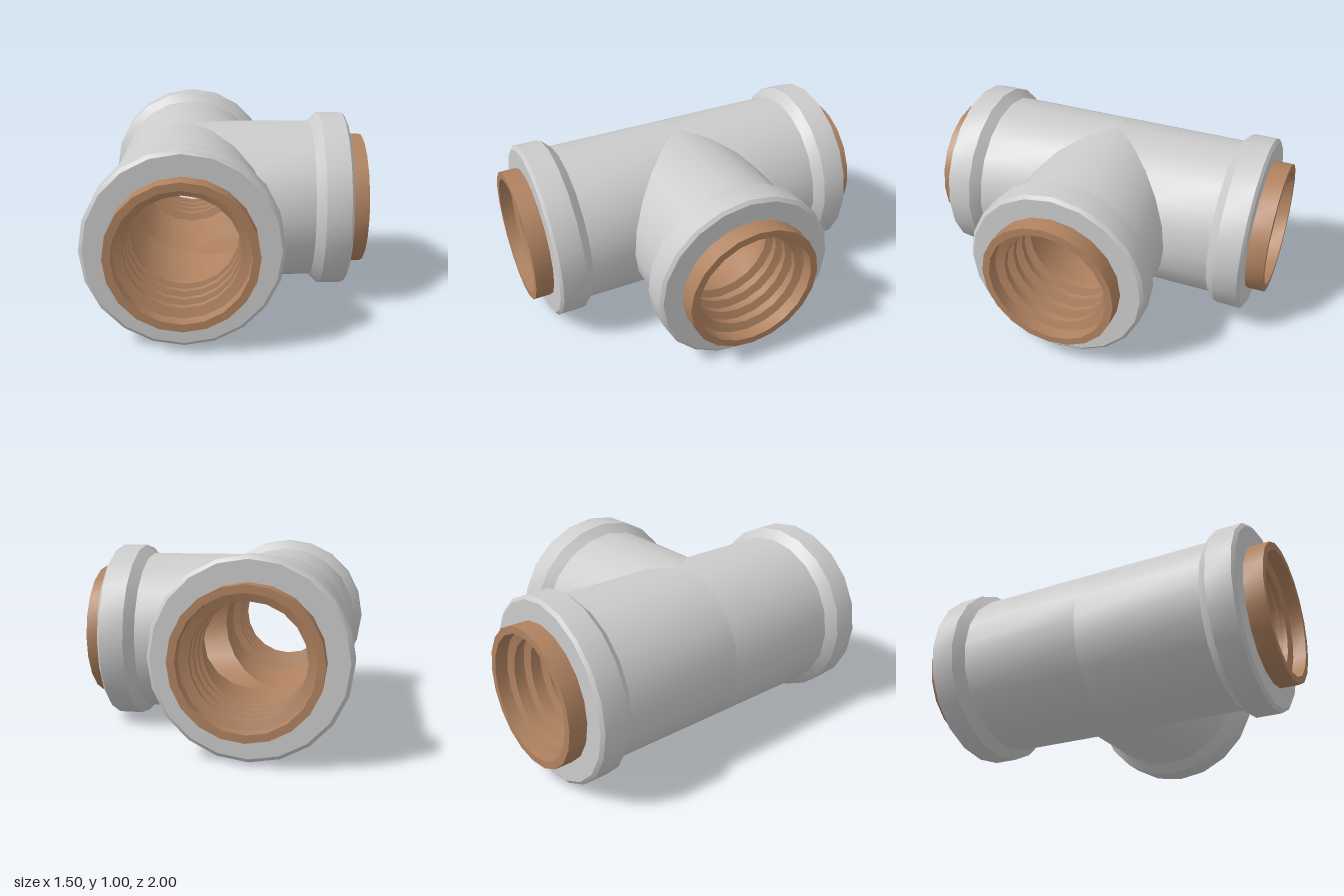
import * as THREE from 'three';
import { toCreasedNormals } from 'three/addons/utils/BufferGeometryUtils.js';

const SIDES = 20;
const CENTRE = [-0.25, 0.502, 0]; // where the three pipe axes meet

// Revolve a profile of [radius, distance] about +y, then mitre its base ring
// (distance 0) with a rule so that the legs meet cleanly at the junction.
function leg(profile, mitre) {
  const geo = new THREE.LatheGeometry(profile.map(([r, d]) => new THREE.Vector2(r, d)), SIDES);
  const pos = geo.attributes.position;
  for (let i = 0; i < pos.count; i++) {
    if (pos.getY(i) < 1e-6) pos.setY(i, mitre(pos.getX(i), pos.getZ(i)));
  }
  return toCreasedNormals(geo, 0.6);
}

// Outer pipe, flared collar and collar face
const casing = [
  [0.453, 0], [0.453, 0.7], [0.502, 0.75], [0.502, 0.885], [0.483, 0.9], [0.37, 0.9],
];

// Liner lip, threaded socket and smooth inner bore
const liner = [[0.375, 0.89], [0.375, 1], [0.335, 1]];
for (let i = 0; i < 4; i++) {
  const d = 0.93 - i * 0.1;
  liner.push([0.335, d], [0.287, d - 0.015], [0.287, d - 0.045], [0.335, d - 0.06]);
}
liner.push([0.335, 0]);

export function createModel() {
  const grey = new THREE.MeshStandardMaterial({ color: 0xcccccc });
  const brown = new THREE.MeshStandardMaterial({ color: 0xb08260 });
  const model = new THREE.Group();
  model.name = 'pipeTee';

  const runMitre = (x) => Math.max(0, x);
  const branchMitre = (x, z) => Math.abs(z);
  const legs = [
    ['frontLeg', runMitre, [Math.PI / 2, 0, 0]],
    ['backLeg', runMitre, [-Math.PI / 2, 0, 0]],
    ['branchLeg', branchMitre, [0, 0, -Math.PI / 2]],
  ];

  for (const [name, mitre, rotation] of legs) {
    const group = new THREE.Group();
    group.name = name;
    for (const [part, profile, material] of [['Casing', casing, grey], ['ThreadedLiner', liner, brown]]) {
      const mesh = new THREE.Mesh(leg(profile, mitre), material);
      mesh.name = name + part;
      group.add(mesh);
    }
    group.rotation.set(...rotation);
    group.position.set(...CENTRE);
    model.add(group);
  }
  return model;
}
